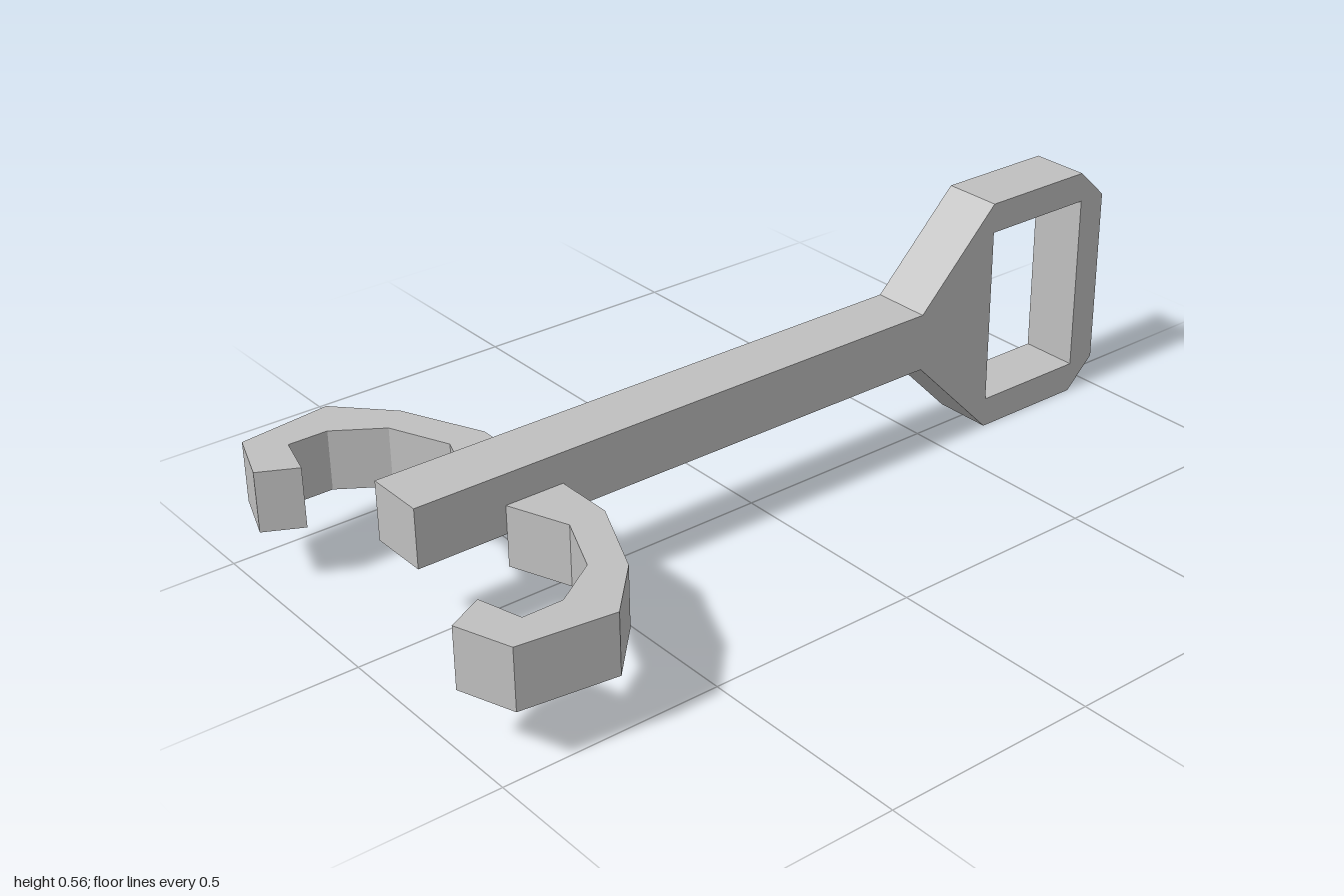
import * as THREE from 'three';

const outline = (points) => new THREE.Shape(points.map(([x, y]) => new THREE.Vector2(x, y)));

export function createModel() {
  const model = new THREE.Group();
  const grey = new THREE.MeshStandardMaterial({ color: 0xbfbfbf });
  grey.name = 'plain grey';
  const thickness = 0.14;

  // Shaft flaring into an angular grip with a rectangular opening
  const body = outline([
    [-0.89, 0.215], [0.435, 0.215], [0.645, 0], [0.927, 0], [1, 0.07],
    [1, 0.49], [0.927, 0.56], [0.645, 0.56], [0.435, 0.35], [-0.89, 0.35],
  ]);
  body.holes.push(outline([[0.647, 0.07], [0.647, 0.49], [0.93, 0.49], [0.93, 0.07]]));
  const bodyGeometry = new THREE.ExtrudeGeometry(body, { depth: thickness, bevelEnabled: false });
  bodyGeometry.translate(0, 0, -thickness / 2);
  const shaft = new THREE.Mesh(bodyGeometry, grey);
  shaft.name = 'shaftAndGrip';
  model.add(shaft);

  // Curled hook on each side, given as (x, distance from the middle)
  const hookOutline = [
    [-0.545, 0.07], [-0.545, 0.21], [-0.63, 0.4], [-0.74, 0.518], [-0.955, 0.49], [-1, 0.362],
    [-0.915, 0.318], [-0.887, 0.42], [-0.795, 0.42], [-0.69, 0.35], [-0.63, 0.21], [-0.683, 0.07],
  ];
  for (const side of [1, -1]) {
    const shape = outline(hookOutline.map(([x, z]) => [x, -side * z]));
    const geometry = new THREE.ExtrudeGeometry(shape, { depth: thickness, bevelEnabled: false });
    geometry.rotateX(-Math.PI / 2);
    geometry.translate(0, 0.14, 0);
    const hook = new THREE.Mesh(geometry, grey);
    hook.name = side > 0 ? 'frontHook' : 'backHook';
    model.add(hook);
  }
  return model;
}
